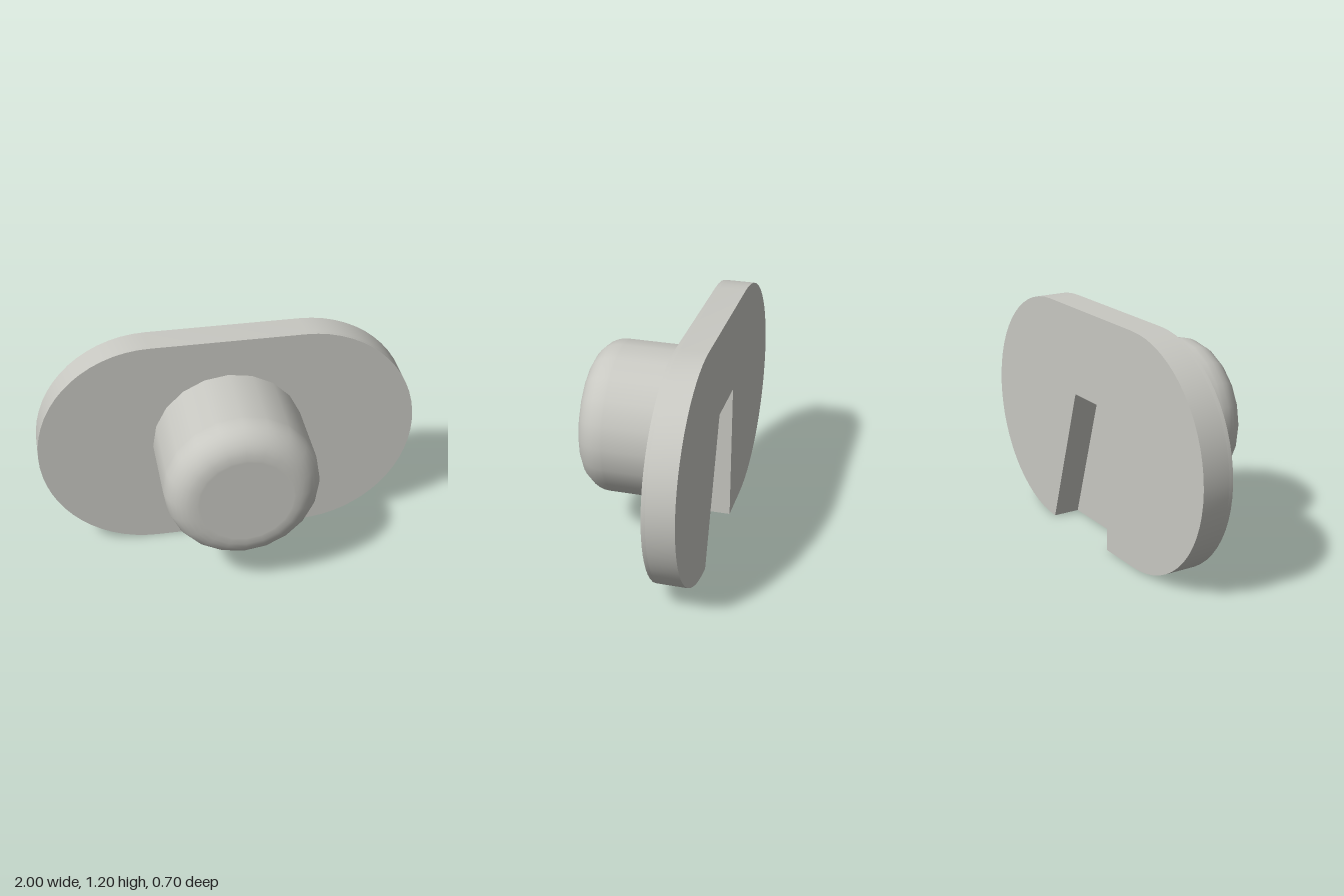
import * as THREE from 'three';
import { toCreasedNormals } from 'three/addons/utils/BufferGeometryUtils.js';

const BACK = -0.35, FRONT = -0.19, FLOOR = -0.21; // plate back, plate front, slot floor

// Stadium outline, optionally with the slot cut up from its lower edge
function plateShape(slotted) {
  const s = new THREE.Shape();
  if (slotted) s.moveTo(0.15, 0);
  s.absarc(0.4, 0.6, 0.6, -Math.PI / 2, Math.PI / 2, false);
  s.absarc(-0.4, 0.6, 0.6, Math.PI / 2, Math.PI * 1.5, false);
  if (slotted) s.lineTo(-0.15, 0).lineTo(-0.15, 0.75).lineTo(0.15, 0.75);
  s.closePath();
  return s;
}

function plateLayer(name, slotted, z0, z1, material) {
  const g = new THREE.ExtrudeGeometry(plateShape(slotted), {
    depth: z1 - z0, bevelEnabled: false, curveSegments: 15,
  });
  g.translate(0, 0, z0);
  const mesh = new THREE.Mesh(toCreasedNormals(g, Math.PI / 6), material);
  mesh.name = name;
  return mesh;
}

export function createModel() {
  const group = new THREE.Group();
  group.name = 'knobPlate';
  const grey = new THREE.MeshStandardMaterial({ color: 0xc8c8c2 });
  grey.name = 'light grey';

  // Plate: slotted back layer closed by a thin full front layer
  group.add(plateLayer('slottedBackPlate', true, BACK, FLOOR, grey));
  group.add(plateLayer('frontPlate', false, FLOOR, FRONT, grey));

  // Round knob with a filleted front edge
  const R = 0.4, r = 0.15, tip = 0.35;
  const profile = [new THREE.Vector2(R, FRONT), new THREE.Vector2(R, tip - r - 0.01)];
  for (let i = 0; i <= 8; i++) {
    const a = (i / 8) * Math.PI / 2;
    profile.push(new THREE.Vector2(R - r + r * Math.cos(a), tip - r + r * Math.sin(a)));
  }
  profile.push(new THREE.Vector2(R - r - 0.01, tip), new THREE.Vector2(0, tip));
  const knobGeometry = new THREE.LatheGeometry(profile, 20);
  knobGeometry.rotateX(Math.PI / 2);
  knobGeometry.translate(0, 0.6, 0);
  const knob = new THREE.Mesh(knobGeometry, grey);
  knob.name = 'knob';
  group.add(knob);

  return group;
}
